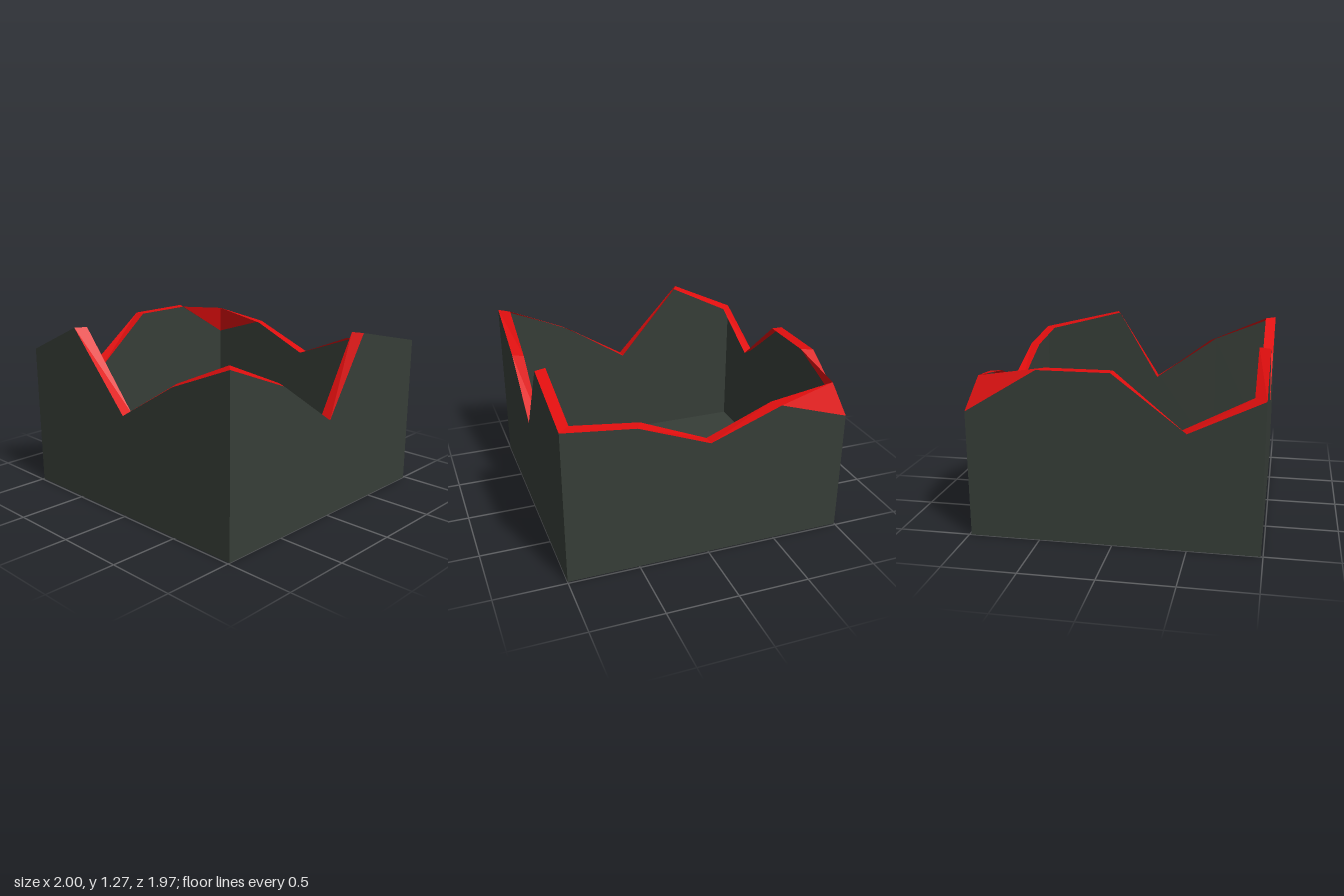
import * as THREE from 'three';

const X = 1, Z = 0.985, INSET = 0.92;

// Top edge of the walls, anticlockwise from the front left of the picture plane: x, z, height
const edge = [
  [-X, Z, 1.04], [-0.5, Z, 1.27], [0, Z, 0.735], [0.5, Z, 1.035],
  [X, Z, 1.237], [X, 0.49, 1.037], [X, 0, 0.70], [X, -0.35, 1.25],
  [X, -Z, 1.10], [0.5, -Z, 1.045], [0, -Z, 0.85], [-0.5, -Z, 1.04],
  [-X, -Z, 0.88, 1.11], [-X, -0.49, 1.18], [-X, 0, 1.18], [-X, 0.49, 0.805],
];

// Closed strip of quads between two loops of points
function strip(lower, upper) {
  const positions = [];
  for (let i = 0; i < lower.length; i++) {
    const j = (i + 1) % lower.length;
    const [a, b, c, d] = [lower[i], lower[j], upper[j], upper[i]];
    positions.push(...a, ...b, ...c, ...a, ...c, ...d);
  }
  const geometry = new THREE.BufferGeometry();
  geometry.setAttribute('position', new THREE.Float32BufferAttribute(positions, 3));
  geometry.computeVertexNormals();
  return geometry;
}

export function createModel() {
  const group = new THREE.Group();
  const wallGrey = new THREE.MeshStandardMaterial({ color: 0x363d37, side: THREE.DoubleSide });
  wallGrey.name = 'dark grey';
  const rimRed = new THREE.MeshStandardMaterial({ color: 0xdf0e0e, side: THREE.DoubleSide });
  rimRed.name = 'red';

  const add = (name, geometry, material) => {
    const mesh = new THREE.Mesh(geometry, material);
    mesh.name = name;
    group.add(mesh);
  };

  const base = edge.map(([x, z]) => [x, 0, z]);
  const top = edge.map(([x, z, y]) => [x, y, z]);
  // The inner lip keeps the edge height, except at the one raised corner
  const lip = edge.map(([x, z, y, inner = y]) => [x * INSET, inner, z * INSET]);

  // Thin walls with a jagged top
  add('walls', strip(base, top), wallGrey);

  // Red flange running inward from the top edge
  add('rim', strip(top, lip), rimRed);

  // Flat floor
  add('floor', new THREE.PlaneGeometry(2 * X, 2 * Z).rotateX(-Math.PI / 2), wallGrey);

  return group;
}
